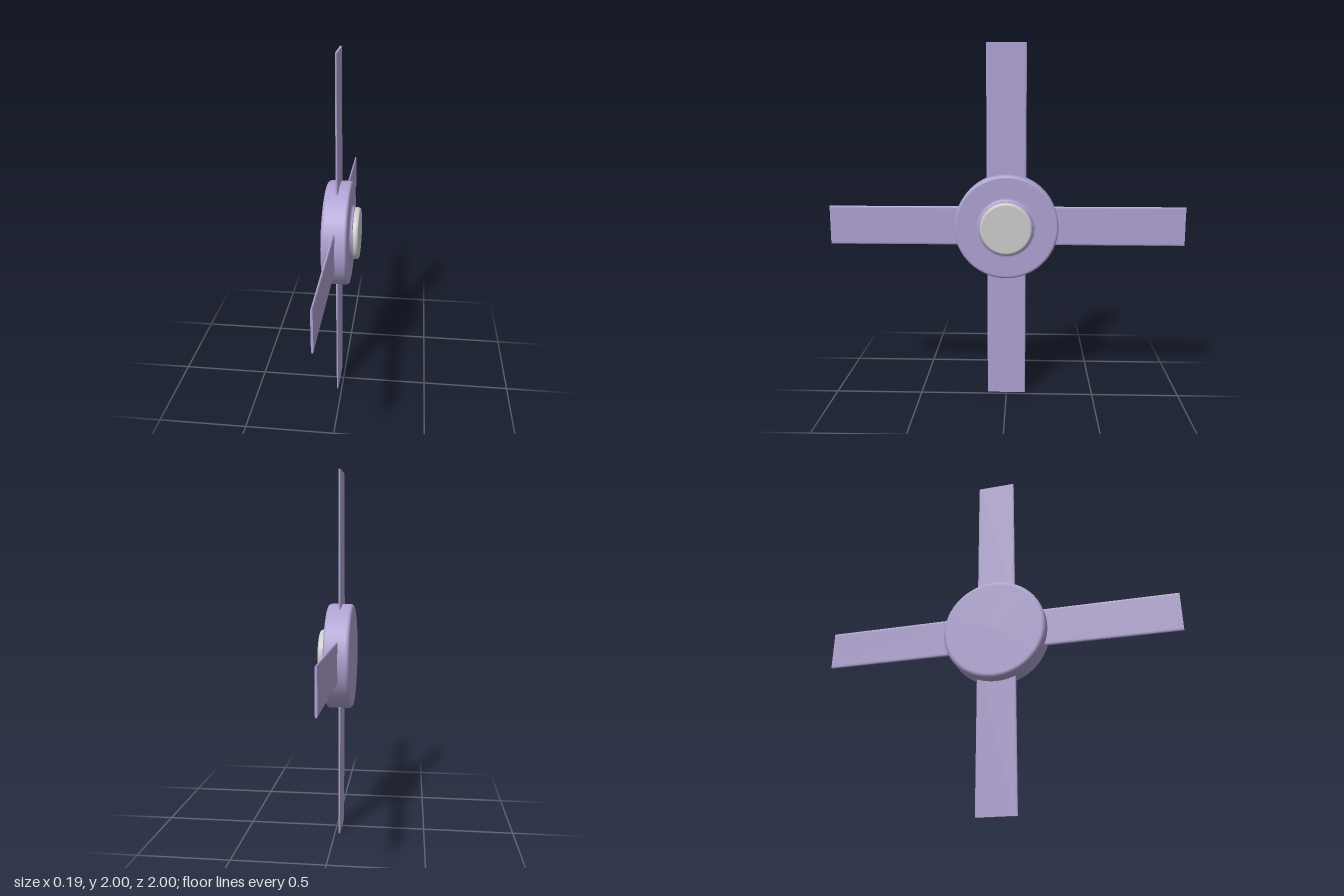
import * as THREE from 'three';

const purple = new THREE.MeshStandardMaterial({ color: 0xaea1d1 });
const grey = new THREE.MeshStandardMaterial({ color: 0xcccccc });

// Solid of revolution about the x axis; points are [radius, x]
function turned(name, points, material) {
  const profile = points.map(([r, x]) => new THREE.Vector2(r, x));
  const mesh = new THREE.Mesh(new THREE.LatheGeometry(profile, 64), material);
  mesh.rotation.z = -Math.PI / 2;
  mesh.name = name;
  return mesh;
}

// Points of a rounded corner from angle a0 to a1 (degrees)
function corner(r, x, radius, a0, a1, steps = 6) {
  return Array.from({ length: steps + 1 }, (_, i) => {
    const a = THREE.MathUtils.degToRad(a0 + ((a1 - a0) * i) / steps);
    return [r + radius * Math.cos(a), x + radius * Math.sin(a)];
  });
}

export function createModel() {
  const model = new THREE.Group();
  model.name = 'rotor';

  // Hub drum with rounded rims and a small raised collar around the cap
  model.add(turned('hub', [
    [0, -0.093], [0.265, -0.093],
    ...corner(0.27, -0.073, 0.02, -90, 0),
    ...corner(0.275, 0.03, 0.015, 0, 90),
    [0.27, 0.045], [0.168, 0.045],
    ...corner(0.165, 0.063, 0.018, 270, 180),
    [0, 0.063],
  ], purple));

  // Round cap on the front of the hub
  model.add(turned('cap', [
    [0.145, 0.04], [0.145, 0.079],
    ...corner(0.131, 0.079, 0.014, 0, 90),
    [0.13, 0.093], [0, 0.093],
  ], grey));

  // Blade section: thin flat strip with edges that thin out
  const t = 0.007, w = 0.11;
  const section = new THREE.Shape();
  section.moveTo(-t, -w + 0.014);
  section.quadraticCurveTo(-t, -w, 0, -w);
  section.quadraticCurveTo(t, -w, t, -w + 0.014);
  section.lineTo(t, w - 0.014);
  section.quadraticCurveTo(t, w, 0, w);
  section.quadraticCurveTo(-t, w, -t, w - 0.014);
  section.closePath();
  const bladeGeometry = new THREE.ExtrudeGeometry(section, {
    depth: 0.8, bevelEnabled: false, curveSegments: 5,
  });
  bladeGeometry.translate(0, 0, 0.2);

  // Thickness tapers slightly toward the tip
  const p = bladeGeometry.attributes.position;
  for (let i = 0; i < p.count; i++) {
    p.setX(i, p.getX(i) * (1.2 - 0.4 * p.getZ(i)) - 0.025);
  }
  bladeGeometry.computeVertexNormals();

  // Four blades at right angles
  for (let i = 0; i < 4; i++) {
    const blade = new THREE.Mesh(bladeGeometry, purple);
    blade.name = `blade${i + 1}`;
    blade.rotation.x = (i * Math.PI) / 2;
    model.add(blade);
  }

  model.position.y = 1;
  const root = new THREE.Group();
  root.add(model);
  return root;
}
